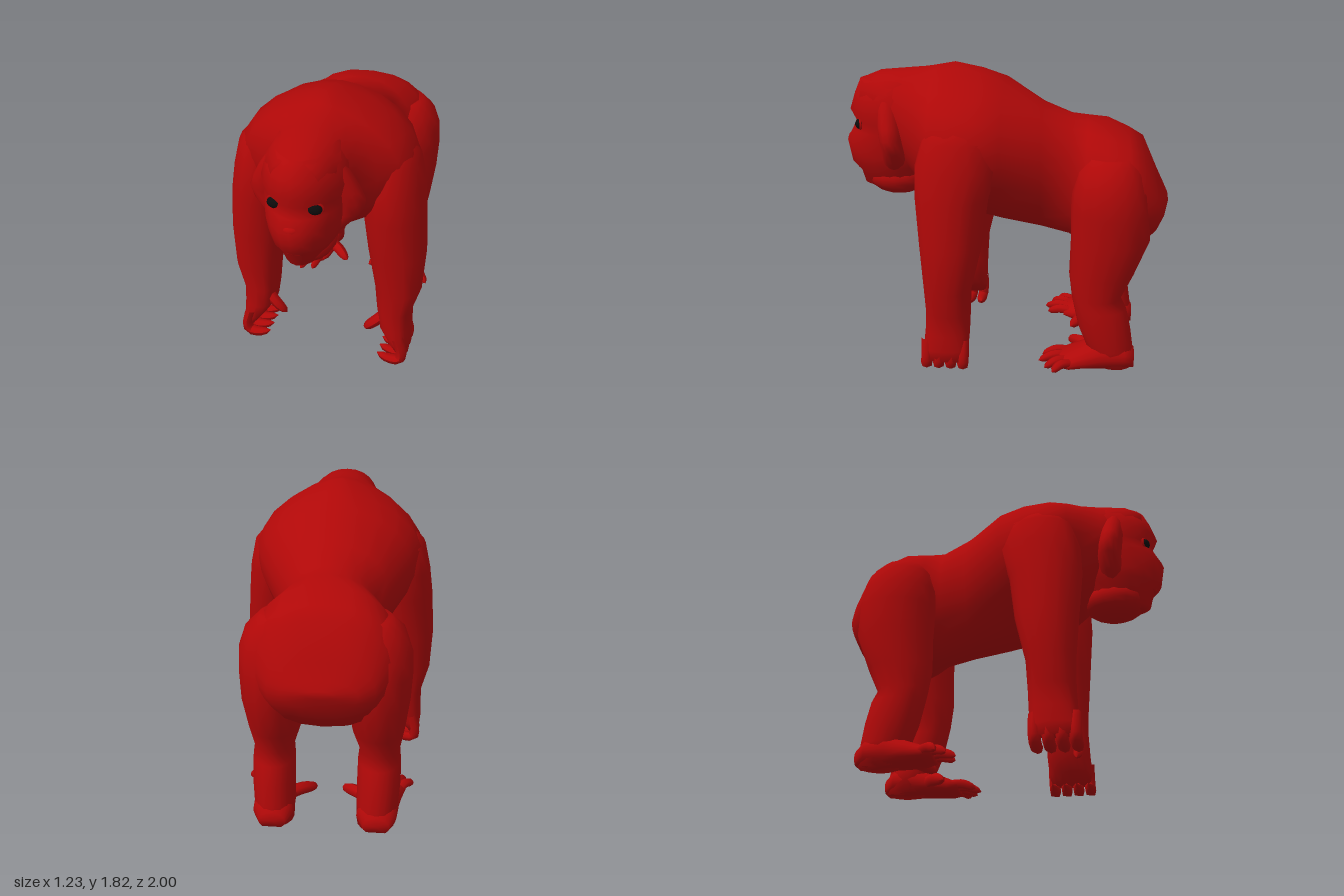
import * as THREE from 'three';

const fur = new THREE.MeshStandardMaterial({ color: 0xb00808 });
const dark = new THREE.MeshStandardMaterial({ color: 0x0c0c0c });

// Skin over rings stacked along y or z.
// Ring: [position on axis, cx, other centre, rx, other radius, pointedness, taper]
function loft(axis, rings, sides = 16) {
  const pos = [], idx = [], n = rings.length;
  const rows = [...rings].sort((a, b) => a[0] - b[0]);
  const put = (p, x, o) => (axis === 'y' ? pos.push(x, Math.max(p, 0), o) : pos.push(x, Math.max(o, 0), p));
  for (const [p, cx, co, rx, ro, power = 1, taper = 0] of rows) {
    for (let j = 0; j < sides; j++) {
      const a = (j / sides) * Math.PI * 2;
      const c = axis === 'y' ? Math.sin(a) : Math.cos(a);
      const s = axis === 'y' ? Math.cos(a) : Math.sin(a);
      put(p, cx + rx * Math.sign(c) * Math.abs(c) ** power * (1 + taper * s), co + ro * s);
    }
  }
  put(rows[0][0], rows[0][1], rows[0][2]);
  put(rows[n - 1][0], rows[n - 1][1], rows[n - 1][2]);
  const lo = n * sides, hi = lo + 1;
  for (let j = 0; j < sides; j++) {
    const k = (j + 1) % sides;
    for (let i = 0; i < n - 1; i++) {
      const a = i * sides + j, b = i * sides + k;
      idx.push(a, b, a + sides, b, b + sides, a + sides);
    }
    idx.push(lo, k, j, hi, (n - 1) * sides + j, (n - 1) * sides + k);
  }
  const g = new THREE.BufferGeometry();
  g.setAttribute('position', new THREE.Float32BufferAttribute(pos, 3));
  g.setIndex(idx);
  g.computeVertexNormals();
  return g;
}

// Tube along points, rounded off at the tip
function digit(points, r) {
  const segs = 10, sides = 7;
  const curve = new THREE.CatmullRomCurve3(points.map((p) => new THREE.Vector3(...p)));
  const g = new THREE.TubeGeometry(curve, segs, r, sides);
  const p = g.attributes.position, n = g.attributes.normal;
  for (let i = 0; i < p.count; i++) {
    const t = Math.floor(i / (sides + 1)) / segs;
    const cut = r * (1 - Math.sqrt(1 - t ** 5));
    p.setXYZ(i, p.getX(i) - n.getX(i) * cut, Math.max(0, p.getY(i) - n.getY(i) * cut), p.getZ(i) - n.getZ(i) * cut);
  }
  g.computeVertexNormals();
  return g;
}

export function createModel() {
  const model = new THREE.Group();
  model.name = 'ape';
  const add = (name, geo, mat = fur) => {
    const m = new THREE.Mesh(geo, mat);
    m.name = name;
    model.add(m);
    return m;
  };
  const blob = (name, c, r, mat) => {
    const m = add(name, new THREE.SphereGeometry(1, 16, 12), mat);
    m.position.set(...c);
    m.scale.set(...r);
    return m;
  };

  // Torso from crown to rump: z, top, bottom, half width, pointedness, taper
  const torso = [
    [0.88, 1.715, 1.5, 0.13, 0.9, 0], [0.78, 1.757, 1.4, 0.2, 0.9, 0], [0.62, 1.773, 1.18, 0.26, 0.9, 0],
    [0.5, 1.785, 1.05, 0.35, 1.05, 0], [0.42, 1.8, 0.98, 0.46, 1.35, 0.05], [0.31, 1.82, 0.92, 0.52, 1.5, 0.05],
    [0.15, 1.785, 0.86, 0.52, 1.4, 0.15], [0, 1.73, 0.83, 0.46, 1.2, 0.22], [-0.23, 1.58, 0.79, 0.33, 1, 0.22],
    [-0.4, 1.515, 0.75, 0.28, 0.95, 0.1], [-0.5, 1.5, 0.71, 0.35, 0.9, 0], [-0.62, 1.48, 0.67, 0.42, 0.8, 0],
    [-0.75, 1.42, 0.67, 0.425, 0.8, 0], [-0.84, 1.37, 0.72, 0.385, 0.85, 0], [-0.93, 1.17, 0.81, 0.3, 0.85, 0],
    [-0.975, 1.08, 0.9, 0.21, 0.9, 0], [-1, 1.03, 0.98, 0.08, 1, 0],
  ];
  add('torso', loft('z', torso.map(([z, t, b, w, ...e]) => [z, 0, (t + b) / 2, w, (t - b) / 2, ...e]), 24));

  // Head: y, back z, front z, half width
  const head = [
    [1.745, 0.45, 0.77, 0.1], [1.71, 0.4, 0.9, 0.17], [1.62, 0.4, 0.94, 0.225], [1.53, 0.4, 0.97, 0.245],
    [1.46, 0.4, 0.935, 0.24], [1.4, 0.4, 0.96, 0.235], [1.33, 0.4, 1, 0.225], [1.25, 0.42, 0.985, 0.215],
    [1.19, 0.45, 0.975, 0.195], [1.13, 0.5, 0.92, 0.165], [1.05, 0.5, 0.9, 0.125], [1.03, 0.55, 0.86, 0.08],
  ];
  add('head', loft('y', head.map(([y, b, f, w]) => [y, 0, (b + f) / 2, w, (f - b) / 2, 1, -0.12]), 20));
  blob('throatPouch', [0, 1.1, 0.68], [0.17, 0.12, 0.2]);
  blob('lips', [0, 1.165, 0.885], [0.085, 0.035, 0.062]);
  blob('nose', [0, 1.335, 0.96], [0.05, 0.035, 0.035]);

  for (const s of [1, -1]) {
    const side = s > 0 ? 'left' : 'right';
    const mir = (rings) => rings.map(([p, x, ...rest]) => [p, x * s, ...rest]);
    const path = (pts) => pts.map(([x, y, z]) => [x * s, y, z]);

    // Face details
    blob(side + 'Eye', [0.105 * s, 1.445, 0.888], [0.048, 0.034, 0.032], dark);
    const lid = add(side + 'EyeRim', new THREE.TorusGeometry(0.05, 0.008, 6, 18));
    lid.position.set(0.107 * s, 1.445, 0.892);
    lid.scale.y = 0.75;
    lid.rotation.y = 0.35 * s;

    // Cheek flap: y, cx, cz, rx, rz
    add(side + 'CheekFlap', loft('y', mir([
      [1.66, 0.13, 0.7, 0.06, 0.06], [1.55, 0.16, 0.69, 0.1, 0.075], [1.46, 0.18, 0.68, 0.125, 0.08],
      [1.39, 0.19, 0.67, 0.14, 0.08], [1.31, 0.18, 0.66, 0.13, 0.08], [1.22, 0.14, 0.67, 0.09, 0.08],
      [1.15, 0.1, 0.68, 0.06, 0.06],
    ])));

    // Arm: y, cx, cz, rx, rz
    add(side + 'Arm', loft('y', mir([
      [1.57, 0.33, 0.26, 0.07, 0.1], [1.51, 0.37, 0.255, 0.11, 0.16], [1.44, 0.39, 0.25, 0.15, 0.205],
      [1.28, 0.4, 0.255, 0.175, 0.245], [1.1, 0.41, 0.285, 0.187, 0.22], [0.82, 0.437, 0.29, 0.178, 0.19, 0.9],
      [0.54, 0.457, 0.31, 0.145, 0.145, 0.8], [0.37, 0.442, 0.312, 0.112, 0.138, 0.75],
      [0.24, 0.452, 0.318, 0.102, 0.138, 0.75], [0.14, 0.485, 0.325, 0.072, 0.138, 0.75],
      [0.07, 0.51, 0.325, 0.04, 0.13, 0.8],
    ])));

    // Curled fingers standing on the knuckles, and the thumb
    for (let i = 0; i < 4; i++) {
      const z = 0.215 + i * 0.075;
      add(side + 'Finger' + (i + 1), digit(path([
        [0.49, 0.2, z], [0.518, 0.09, z], [0.51, 0.03, z + 0.005], [0.44, 0.025, z + 0.01], [0.36, 0.045, z],
      ]), 0.036));
    }
    add(side + 'Thumb', digit(path([[0.43, 0.36, 0.34], [0.36, 0.29, 0.38], [0.31, 0.24, 0.39], [0.26, 0.18, 0.38]]), 0.037));

    // Hind leg: y, cx, cz, rx, rz
    add(side + 'Leg', loft('y', mir([
      [1.32, 0.25, -0.64, 0.12, 0.13], [1.24, 0.27, -0.64, 0.18, 0.19], [1.12, 0.285, -0.645, 0.205, 0.225],
      [1, 0.29, -0.65, 0.205, 0.235], [0.82, 0.3, -0.655, 0.185, 0.235], [0.6, 0.305, -0.61, 0.155, 0.195],
      [0.45, 0.315, -0.585, 0.12, 0.15], [0.38, 0.315, -0.61, 0.128, 0.16], [0.25, 0.315, -0.64, 0.13, 0.16],
      [0.12, 0.31, -0.675, 0.125, 0.145], [0, 0.305, -0.71, 0.115, 0.12],
    ])));

    // Foot: z, cx, cy, rx, ry
    add(side + 'Foot', loft('z', mir([
      [-0.83, 0.31, 0.04, 0.08, 0.06], [-0.77, 0.31, 0.07, 0.12, 0.09], [-0.65, 0.315, 0.07, 0.125, 0.11],
      [-0.53, 0.325, 0.05, 0.13, 0.085], [-0.43, 0.345, 0.035, 0.13, 0.06], [-0.37, 0.355, 0.035, 0.11, 0.035],
    ])));
    [[0.27, 0.3, -0.26], [0.325, 0.385, -0.24], [0.38, 0.47, -0.28], [0.43, 0.52, -0.33]].forEach(([x0, x1, z1], i) =>
      add(side + 'Toe' + (i + 1), digit(path([
        [x0, 0.04, -0.45], [(x0 + x1) / 2, 0.052, (z1 - 0.43) / 2], [x1, 0.022, z1],
      ]), 0.03)));
    add(side + 'BigToe', digit(path([[0.27, 0.05, -0.58], [0.17, 0.055, -0.5], [0.08, 0.025, -0.42]]), 0.04));
  }
  return model;
}
